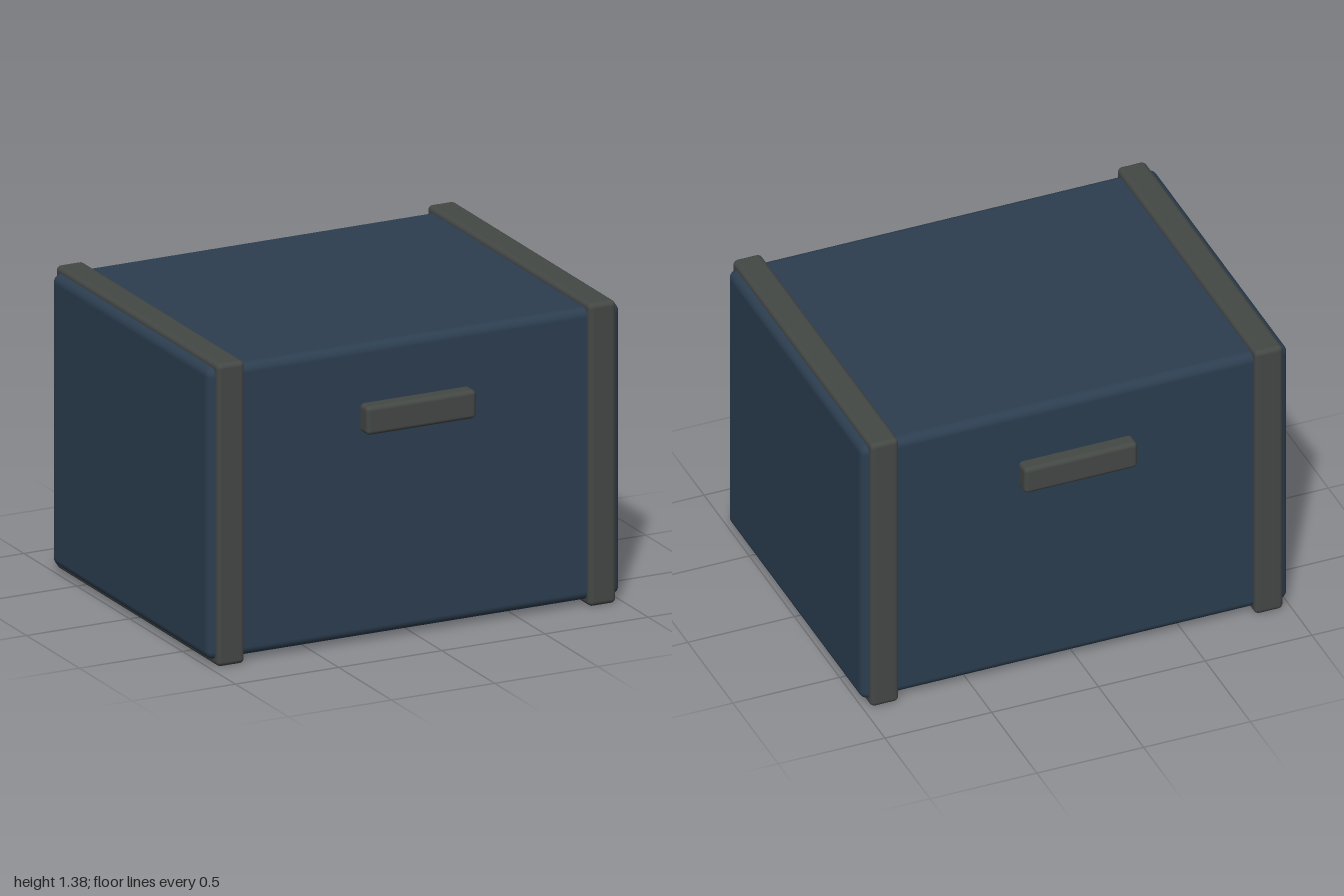
import * as THREE from 'three';
import { RoundedBoxGeometry } from 'three/addons/geometries/RoundedBoxGeometry.js';

export function createModel() {
  const group = new THREE.Group();
  group.name = 'crate';
  const navy = new THREE.MeshStandardMaterial({ color: 0x2c3e50 });
  navy.name = 'navy';
  const grey = new THREE.MeshStandardMaterial({ color: 0x444845 });
  grey.name = 'dark grey';

  const addBox = (name, size, position, radius, material) => {
    const mesh = new THREE.Mesh(new RoundedBoxGeometry(...size, 4, radius), material);
    mesh.name = name;
    mesh.position.set(...position);
    group.add(mesh);
  };

  // Softly rounded case
  addBox('body', [2, 1.328, 1.496], [0, 0.688, 0], 0.04, navy);

  for (const side of [1, -1]) {
    // Strap wrapped around each end
    addBox(side > 0 ? 'leftBand' : 'rightBand',
      [0.133, 1.376, 1.54], [side * 0.9, 0.688, 0], 0.022, grey);
    // Grip on the front and back, sunk slightly into the case
    addBox(side > 0 ? 'frontHandle' : 'backHandle',
      [0.53, 0.13, 0.085], [0, 1.024, side * 0.773], 0.02, grey);
  }
  return group;
}
